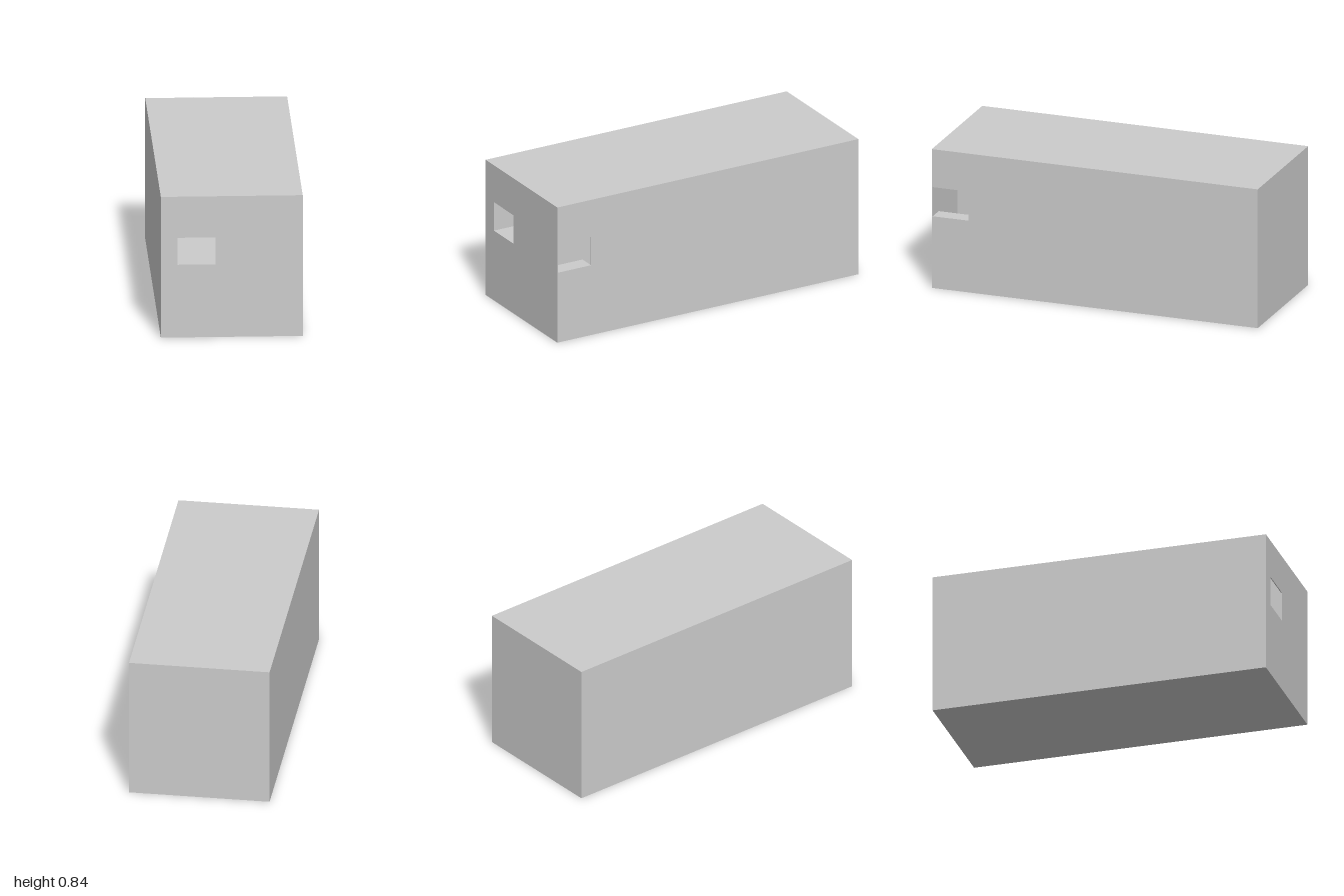
import * as THREE from 'three';

const W = 0.815, H = 0.842, L = 2, T = 0.005; // outer size and panel thickness
const LOW = 0.435, HIGH = 0.612;              // window sill and head heights

export function createModel() {
  const group = new THREE.Group();
  const material = new THREE.MeshStandardMaterial({ color: 0xcccccc, flatShading: true });

  const add = (name, geometry) => {
    const mesh = new THREE.Mesh(geometry, material);
    mesh.name = name;
    group.add(mesh);
    return mesh;
  };
  // Box given by its minimum and maximum corners
  const box = (name, x0, y0, z0, x1, y1, z1) =>
    add(name, new THREE.BoxGeometry(x1 - x0, y1 - y0, z1 - z0))
      .position.set((x0 + x1) / 2, (y0 + y1) / 2, (z0 + z1) / 2);
  const outline = (points) => points.map(([x, y]) => new THREE.Vector2(x, y));
  const panel = (shape) => new THREE.ExtrudeGeometry(shape, { depth: T, bevelEnabled: false });

  const x = W / 2, z = L / 2, xi = x - T, zi = z - T;

  // Front panel with its window
  const front = new THREE.Shape(outline([[-x, 0], [x, 0], [x, H], [-x, H]]));
  front.holes.push(new THREE.Path(outline([[-0.313, LOW], [-0.313, HIGH], [-0.093, HIGH], [-0.093, LOW]])));
  add('frontPanel', panel(front)).position.z = zi;

  // Side panel whose window reaches the back of the front panel
  const side = new THREE.Shape(outline([
    [-zi, 0], [zi, 0], [zi, H], [-zi, H], [-zi, HIGH], [-0.775, HIGH], [-0.775, LOW], [-zi, LOW],
  ]));
  add('windowSidePanel', panel(side).rotateY(Math.PI / 2)).position.x = xi;

  // Closed panels
  box('plainSidePanel', -x, 0, -zi, -xi, H, zi);
  box('backPanel', -x, 0, -z, x, H, -zi);
  box('floorPanel', -xi, 0, -zi, xi, T, zi);
  box('topPanel', -xi, H - T, -zi, xi, H, zi);

  // Divider between the two chambers
  box('divider', -T / 2, T, -zi, T / 2, H - T, zi);

  // Ledges inside the windows
  box('frontLedge', -0.313, LOW - T, 0.87, -0.093, LOW, zi);
  box('sideLedge', 0.31, LOW - T, 0.775, xi, LOW, zi);

  return group;
}
